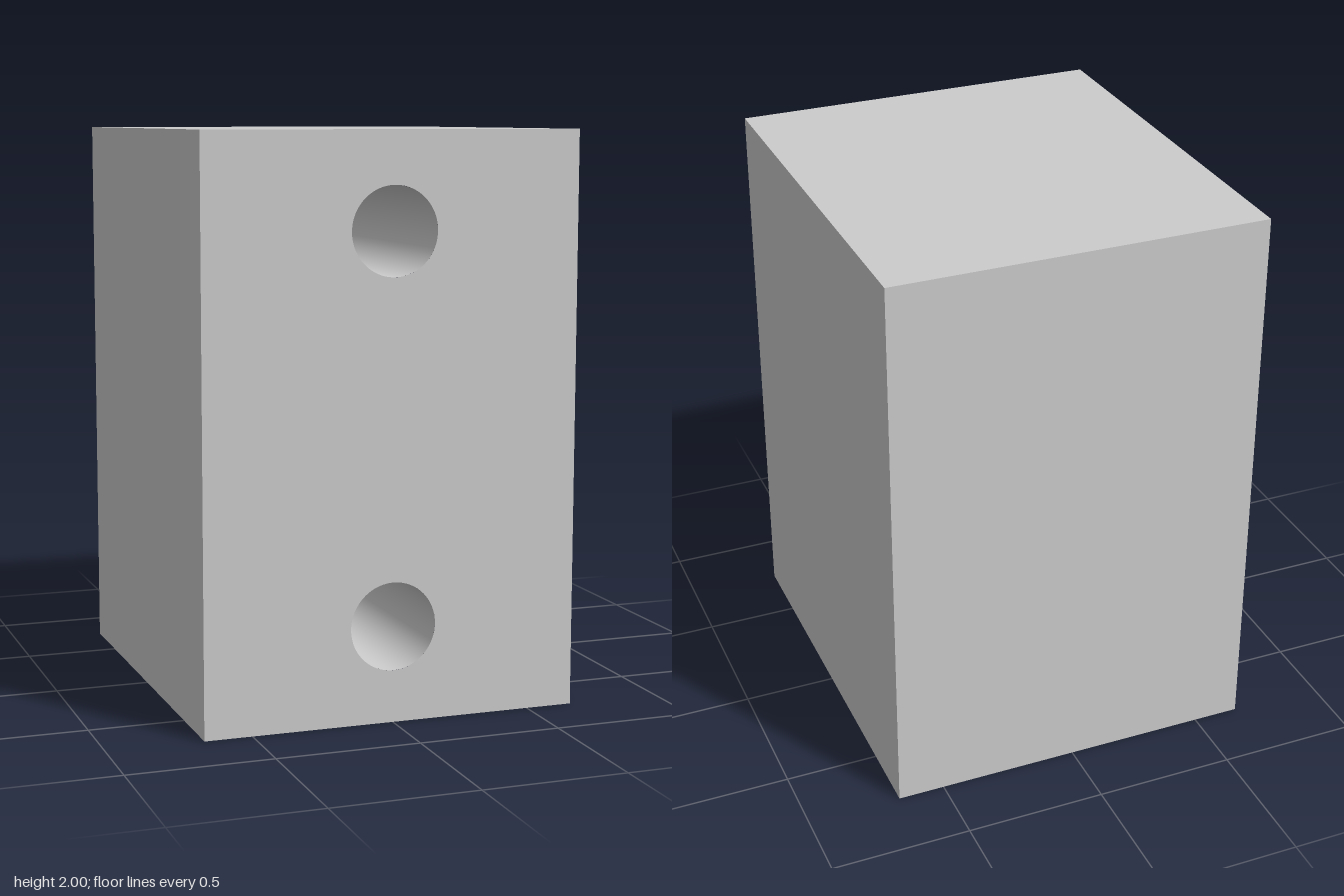
import * as THREE from 'three';

const W = 1.333, H = 2, D = 1.5;          // block size
const R = 0.152, DEPTH = 1.0, SEG = 64;   // blind bores
const BORE_Y = [0.333, 1.667];

export function createModel() {
  const group = new THREE.Group();
  const material = new THREE.MeshStandardMaterial({ color: 0xcccccc });
  const add = (name, geometry, parent = group) => {
    const mesh = new THREE.Mesh(geometry, material);
    mesh.name = name;
    parent.add(mesh);
    return mesh;
  };

  // Block shell: a box whose front (+z) face is left out
  const shell = new THREE.BoxGeometry(W, H, D);
  const index = Array.from(shell.index.array);
  index.splice(24, 6);
  shell.setIndex(index);
  shell.clearGroups();
  add('blockBody', shell).position.y = H / 2;

  // Front face with the bore openings cut out
  const face = new THREE.Shape([
    new THREE.Vector2(-W / 2, 0), new THREE.Vector2(W / 2, 0),
    new THREE.Vector2(W / 2, H), new THREE.Vector2(-W / 2, H),
  ]);
  for (const y of BORE_Y) face.holes.push(new THREE.Path().absarc(0, y, R, 0, Math.PI * 2, true));
  add('frontFace', new THREE.ShapeGeometry(face, SEG)).position.z = D / 2;

  // Blind bores: inward-facing wall and flat floor
  BORE_Y.forEach((y, i) => {
    const bore = new THREE.Group();
    bore.name = i ? 'upperBore' : 'lowerBore';
    bore.position.set(0, y, D / 2);
    const profile = [new THREE.Vector2(R, 0), new THREE.Vector2(R, -DEPTH)];
    add('boreWall', new THREE.LatheGeometry(profile, SEG).rotateX(Math.PI / 2), bore);
    add('boreFloor', new THREE.CircleGeometry(R, SEG), bore).position.z = -DEPTH;
    group.add(bore);
  });

  return group;
}
